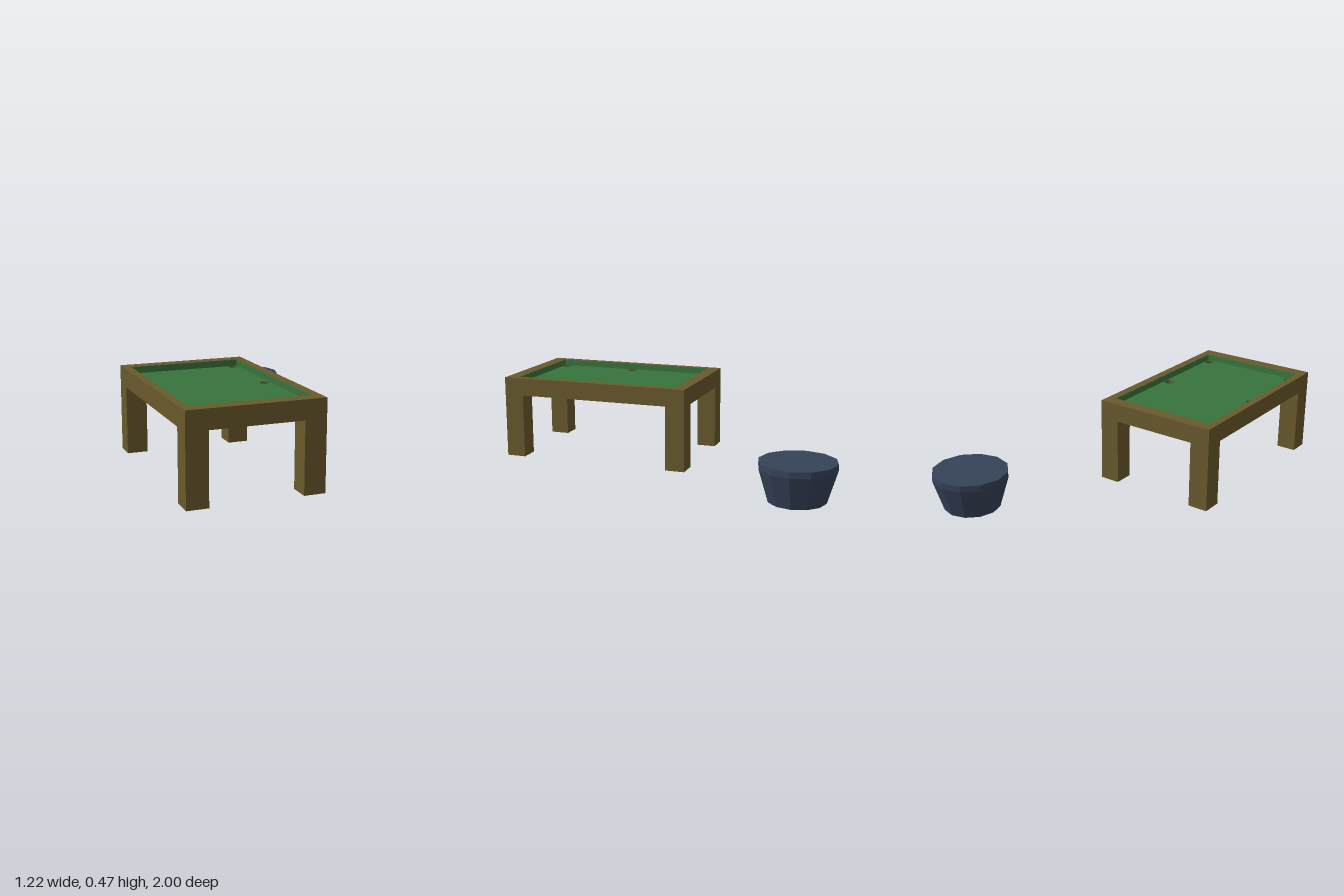
import * as THREE from 'three';

const material = (name, color) => {
  const m = new THREE.MeshStandardMaterial({ color, flatShading: true });
  m.name = name;
  return m;
};

export function createModel() {
  const wood = material('wood', 0x69592c);
  const cloth = material('green cloth', 0x37743c);
  const fabric = material('navy fabric', 0x364359);

  const model = new THREE.Group();
  const table = new THREE.Group();
  table.name = 'poolTable';
  const stool = new THREE.Group();
  stool.name = 'stool';
  model.add(table, stool);

  const add = (parent, name, geometry, mat, x = 0, y = 0, z = 0) => {
    const mesh = new THREE.Mesh(geometry, mat);
    mesh.name = name;
    mesh.position.set(x, y, z);
    parent.add(mesh);
  };

  // Rectangle outlines in the table plan: shape x, y become world x, z
  const rect = (Type, x0, x1, z0, z1) => new Type([
    new THREE.Vector2(x0, z0), new THREE.Vector2(x1, z0),
    new THREE.Vector2(x1, z1), new THREE.Vector2(x0, z1),
  ]);
  const outer = [-0.61, 0.085, -0.095, 1];
  const inner = [-0.57, 0.04, -0.025, 0.928];
  const lining = [-0.567, 0.037, -0.022, 0.925];

  // Horizontal slab between two heights, with holes
  const slab = (name, outline, holes, bottom, top, mat) => {
    const shape = rect(THREE.Shape, ...outline);
    shape.holes.push(...holes);
    const geometry = new THREE.ExtrudeGeometry(shape, {
      depth: top - bottom, bevelEnabled: false, curveSegments: 8,
    });
    geometry.rotateX(Math.PI / 2);
    add(table, name, geometry, mat, 0, top, 0);
  };

  const pockets = [];
  for (const x of [-0.54, 0.008]) {
    for (const z of [0.003, 0.45, 0.895]) {
      pockets.push(new THREE.Path().absarc(x, z, 0.028, 0, Math.PI * 2, true));
    }
  }

  // Table body: floor, pocketed bed, cloth and raised rails
  slab('underside', outer, [], 0.365, 0.372, wood);
  slab('bed', outer, pockets, 0.372, 0.426, wood);
  slab('playingCloth', inner, pockets, 0.426, 0.43, cloth);
  slab('rails', outer, [rect(THREE.Path, ...inner)], 0.426, 0.465, wood);
  slab('cushionLining', inner, [rect(THREE.Path, ...lining)], 0.43, 0.464, cloth);

  // Four square legs flush with the outer corners
  const leg = new THREE.BoxGeometry(0.111, 0.365, 0.111);
  for (const x of [-0.5545, 0.0295]) {
    for (const z of [-0.0395, 0.9445]) add(table, 'leg', leg, wood, x, 0.1825, z);
  }

  // Twelve-sided stool: tapered base and straight seat rim
  add(stool, 'base', new THREE.CylinderGeometry(0.202, 0.15, 0.172, 12), fabric, 0.407, 0.101, -0.798);
  add(stool, 'seat', new THREE.CylinderGeometry(0.202, 0.202, 0.033, 12), fabric, 0.407, 0.2035, -0.798);

  return model;
}
